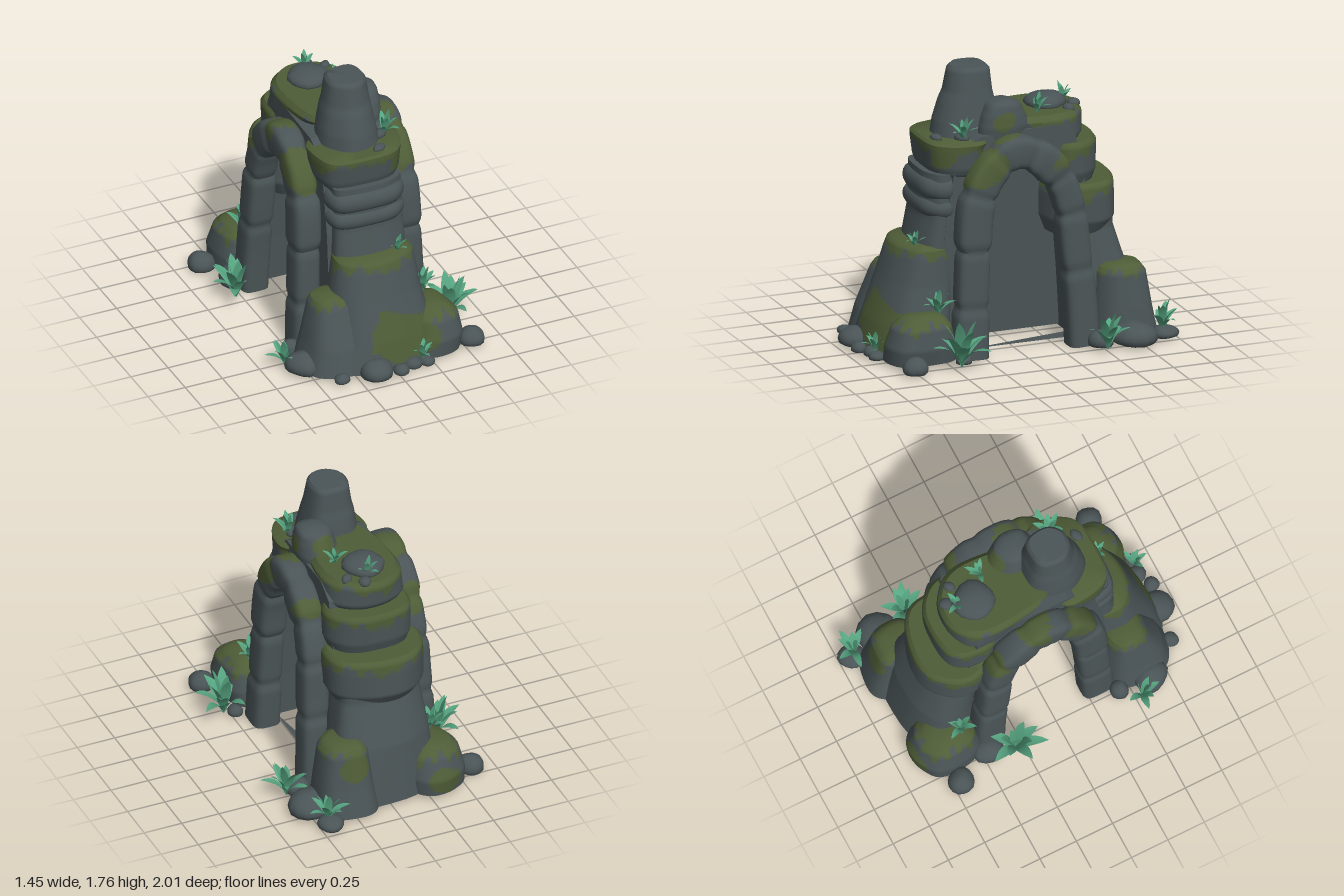
import * as THREE from 'three';
import { toCreasedNormals } from 'three/addons/utils/BufferGeometryUtils.js';

const mat = (name, color, side = THREE.FrontSide) =>
  Object.assign(new THREE.MeshStandardMaterial({ color, side }), { name });
const rockMat = mat('rock', 0x4a5456);
const innerMat = mat('innerRock', 0x4a5354, THREE.DoubleSide);
const mossMat = mat('moss', 0x4f5d37);
const leafMat = mat('leaf', 0x56a581, THREE.DoubleSide);

const SEG = 40;
const superPow = (v, p) => Math.sign(v) * Math.abs(v) ** (2 / p);

// Closed skin over rings of points, triangles sorted into rock and moss by a rule
function loft(rings, isMoss) {
  const pos = [], idx = [], n = rings[0].length, m = rings.length;
  rings.flat().forEach(p => pos.push(p.x, p.y, p.z));
  for (let i = 0; i < m - 1; i++) for (let j = 0; j < n; j++) {
    const a = i * n + j, b = i * n + (j + 1) % n;
    idx.push(a, a + n, b, b, a + n, b + n);
  }
  [0, m - 1].forEach(r => {
    const c = rings[r].reduce((s, p) => s.add(p), new THREE.Vector3()).divideScalar(n);
    const k = pos.length / 3;
    pos.push(c.x, c.y, c.z);
    for (let j = 0; j < n; j++) {
      const a = r * n + j, b = r * n + (j + 1) % n;
      idx.push(...(r ? [k, b, a] : [k, a, b]));
    }
  });
  let g = new THREE.BufferGeometry();
  g.setAttribute('position', new THREE.Float32BufferAttribute(pos, 3));
  g.setIndex(idx);
  g = toCreasedNormals(g, 0.75);
  const P = g.attributes.position, sorted = [[], []], c = new THREE.Vector3();
  for (let t = 0; t < P.count; t += 3) {
    c.set(0, 0, 0);
    for (let k = 0; k < 3; k++) c.add(new THREE.Vector3().fromBufferAttribute(P, t + k));
    sorted[isMoss(c.divideScalar(3)) ? 1 : 0].push(t, t + 1, t + 2);
  }
  g.setIndex([...sorted[0], ...sorted[1]]);
  g.addGroup(0, sorted[0].length, 0);
  g.addGroup(sorted[0].length, sorted[1].length, 1);
  return g;
}

// True inside any wobbly sphere [x, y, z, r]
const inPatch = (c, patches) => patches.some(([x, y, z, r]) =>
  Math.hypot(c.x - x, c.y - y, c.z - z) <
  r * (1 + 0.12 * Math.sin(c.x * 23 + c.y * 9) + 0.1 * Math.sin(c.y * 31 + c.z * 17)));

// Stone stacked from rows [y, x0, x1, z0, z1], mossy down to a dripping edge
function stone(parent, name, rows, { moss = 0, patches = [], p = 2.8, seed = rows[0][1] * 40 } = {}) {
  const fine = [rows[0]];
  for (let i = 1; i < rows.length; i++) {
    const a = rows[i - 1], b = rows[i];
    const k = Math.max(1, Math.ceil(Math.abs(b[0] - a[0]) / 0.016));
    for (let s = 1; s <= k; s++) fine.push(a.map((v, q) => v + (b[q] - v) * s / k));
  }
  const rings = fine.map(([y, x0, x1, z0, z1]) => Array.from({ length: SEG }, (_, j) => {
    const t = j / SEG * Math.PI * 2;
    const w = 1 + 0.025 * Math.sin(3 * t + seed) + 0.02 * Math.sin(5 * t + seed * 2 + y * 3);
    return new THREE.Vector3((x0 + x1) / 2 + (x1 - x0) / 2 * w * superPow(Math.cos(t), p), y,
      (z0 + z1) / 2 + (z1 - z0) / 2 * w * superPow(Math.sin(t), p));
  }));
  const top = rows.at(-1);
  const cx = (top[1] + top[2]) / 2, cz = (top[3] + top[4]) / 2;
  const geo = loft(rings, c => {
    const t = Math.atan2(c.z - cz, c.x - cx);
    const drip = moss * (1 + 0.35 * Math.sin(4 * t + seed) + 0.4 * Math.sin(13 * t));
    return (moss > 0 && c.y > top[0] - drip) || inPatch(c, patches);
  });
  const mesh = new THREE.Mesh(geo, [rockMat, mossMat]);
  mesh.name = name;
  parent.add(mesh);
}

// Arch centreline as [z, y]
const archLine = [[.325, 0], [.315, .3], [.3, .6], [.27, .95], [.18, 1.15], [.02, 1.265],
  [-.13, 1.22], [-.26, 1.09], [-.335, .9], [-.37, .6], [-.4, .3], [-.415, 0]];
const joints = [.11, .24, .36, .45, .53, .61, .7, .83];

// Arch of bulging blocks, pinched at each joint
function arch(parent, name, xTop, xBase, patches) {
  const curve = new THREE.CatmullRomCurve3(archLine.map(([z, y]) =>
    new THREE.Vector3(xBase + (xTop - xBase) * Math.min(1, y / 1.1), y, z)));
  const X = new THREE.Vector3(1, 0, 0), rings = [];
  for (let i = 0; i <= 130; i++) {
    const u = i / 130, c = curve.getPointAt(u), T = curve.getTangentAt(u);
    const side = new THREE.Vector3().crossVectors(X, T).normalize();
    const block = joints.filter(j => j < u).length;
    const pinch = joints.reduce((s, j) => s - 0.13 * Math.exp(-(((u - j) / 0.01) ** 2)), 1);
    const r = pinch * (1 + 0.04 * Math.sin(block * 2.3 + xTop * 9));
    const thick = u > 0.6 ? 0.096 : 0.106;
    rings.push(Array.from({ length: 24 }, (_, j) => {
      const t = j / 24 * Math.PI * 2;
      return c.clone().addScaledVector(X, 0.088 * r * superPow(Math.cos(t), 3.8))
        .addScaledVector(side, thick * r * superPow(Math.sin(t), 3.8));
    }));
  }
  const mesh = new THREE.Mesh(loft(rings, c => inPatch(c, patches)), [rockMat, mossMat]);
  mesh.name = name;
  parent.add(mesh);
}

// Rounded boulder with a flat underside resting at y
function boulder(parent, name, x, y, z, rx, h, rz = rx) {
  const geo = new THREE.SphereGeometry(1, 14, 10), P = geo.attributes.position;
  for (let i = 0; i < P.count; i++) {
    const a = P.getX(i), b = P.getY(i), c = P.getZ(i);
    const w = 1 + 0.07 * Math.sin(a * 3 + x * 20) * Math.cos(c * 3 + z * 20);
    P.setXYZ(i, a * w, Math.max(b, -0.45) * w, c * w);
  }
  geo.scale(rx, h / 1.45, rz);
  geo.computeVertexNormals();
  const mesh = new THREE.Mesh(geo, rockMat);
  mesh.name = name;
  mesh.position.set(x, y + h * 0.31, z);
  mesh.rotation.y = x * 5;
  parent.add(mesh);
}

// Tuft of broad leaves arching outwards
function plant(parent, x, y, z, h, n = 9) {
  const tuft = new THREE.Group();
  tuft.name = 'plant';
  tuft.position.set(x, y, z);
  for (let k = 0; k < n; k++) {
    const lean = 0.15 + 0.7 * ((k * 0.618) % 1), len = h * (0.85 + 0.25 * ((k * 0.38) % 1));
    const geo = new THREE.PlaneGeometry(1, 1, 2, 7), P = geo.attributes.position;
    for (let i = 0; i < P.count; i++) {
      const s = P.getX(i) * 2, t = P.getY(i) + 0.5;
      const w = 0.11 * h * Math.sin(Math.PI * (0.04 + 0.96 * t ** 1.1)) ** 0.8;
      P.setXYZ(i, s * w, len * (t - lean * 0.65 * t * t) + Math.abs(s) * w * 0.2,
        len * lean * (0.45 * t + 0.5 * t * t));
    }
    geo.computeVertexNormals();
    const leaf = new THREE.Mesh(geo, leafMat);
    leaf.name = 'leaf';
    leaf.rotation.y = Math.atan2(x, z * 0.5) + ((k + 0.5) / n - 0.5) * 5;
    tuft.add(leaf);
  }
  parent.add(tuft);
}

export function createModel() {
  const g = new THREE.Group();
  g.name = 'rockArch';

  // Core with a tunnel, closed halfway by a wall
  const V = ([z, y]) => new THREE.Vector2(z, y);
  const outline = [[-.58, .02], [-.52, .8], [-.42, 1.3], [-.3, 1.38], [.2, 1.36], [.36, 1.28], [.44, .8], [.5, .02]];
  const core = new THREE.ExtrudeGeometry(new THREE.Shape([...archLine, ...outline].map(V)),
    { depth: 0.5, bevelEnabled: false });
  core.rotateY(-Math.PI / 2).translate(0.23, 0, 0);
  const coreMesh = new THREE.Mesh(core, rockMat);
  coreMesh.name = 'tunnelCore';
  const wall = new THREE.Mesh(new THREE.ShapeGeometry(new THREE.Shape(archLine.map(V))), innerMat);
  wall.name = 'tunnelWall';
  wall.rotation.y = -Math.PI / 2;
  wall.position.y = 0.02;
  const sill = new THREE.Mesh(new THREE.ShapeGeometry(new THREE.Shape(
    [[.26, -.32], [.26, .4], [.15, .4]].map(V))), innerMat);
  sill.name = 'sill';
  sill.rotation.x = -Math.PI / 2;
  sill.position.y = 0.02;
  g.add(coreMesh, wall, sill);

  arch(g, 'leftArch', .3, .34, [[.28, 1.2, .24, .16], [.3, 1.16, -.27, .09], [.25, 1.34, .05, .1]]);
  arch(g, 'rightArch', -.35, -.385, [[-.33, 1.2, .25, .15], [-.3, 1.33, -.05, .13], [-.35, 1.1, -.33, .1]]);

  // Front pillar, from the ground up
  stone(g, 'frontBase', [[.02, -.42, .4, .36, .88], [.2, -.34, .32, .36, .84], [.45, -.3, .27, .34, .76],
    [.62, -.27, .25, .34, .71], [.67, -.26, .24, .34, .69], [.69, -.23, .21, .36, .66]],
    { moss: .06, p: 2.5, patches: [[.03, .2, .83, .19], [.2, .14, .8, .15]] });
  stone(g, 'frontLeftFoot', [[.02, .14, .48, .42, .87], [.12, .15, .5, .43, .87], [.24, .18, .48, .46, .83],
    [.29, .22, .43, .5, .77], [.31, .27, .38, .55, .72]], { moss: .065, p: 2.4, patches: [[.2, .15, .85, .1]] });
  stone(g, 'frontRightFoot', [[.02, -.53, -.12, .38, .84], [.18, -.49, -.14, .4, .8], [.42, -.44, -.17, .44, .7],
    [.46, -.42, -.19, .46, .67], [.475, -.38, -.22, .5, .63]], { moss: .05, p: 2.5 });
  stone(g, 'frontShaft', [[.5, -.26, .23, .34, .62], [.85, -.24, .22, .33, .55], [1.14, -.25, .21, .33, .53]]);
  [[.86, .975], [.975, 1.105]].forEach(([a, b]) => stone(g, 'frontBand', [0, .12, .3, .5, .7, .88, 1].map(t => {
    const e = .032 * Math.sin(Math.PI * t) ** .6;
    return [a + (b - a) * t, -.243 - e, .203 + e, .33, .532 + e];
  })));
  stone(g, 'frontLedge', [[1.1, -.25, .2, .2, .46], [1.125, -.28, .23, .18, .485], [1.17, -.3, .25, .14, .5],
    [1.29, -.31, .26, .12, .515], [1.32, -.31, .265, .1, .515], [1.335, -.29, .245, .1, .5]],
    { moss: .05, patches: [[.22, 1.28, .45, .1], [-.28, 1.3, .35, .1]] });
  stone(g, 'spire', [[1.3, -.22, .16, -.01, .42], [1.42, -.21, .14, .01, .4], [1.54, -.19, .12, .03, .365],
    [1.6, -.175, .11, .045, .34], [1.735, -.155, .09, .06, .315], [1.755, -.135, .075, .08, .295]], { p: 2.4 });
  stone(g, 'sideSpire', [[1.3, -.02, .24, -.15, .2], [1.4, -.01, .255, -.14, .19], [1.47, .01, .25, -.11, .17],
    [1.53, .03, .24, -.08, .14], [1.55, .05, .23, -.05, .12], [1.562, .08, .2, -.02, .08]],
    { p: 2.3, patches: [[.2, 1.43, .05, .08], [.12, 1.47, -.12, .08]] });

  // Back terraces, from the ground up
  stone(g, 'backBase', [[.02, -.36, .36, -.86, -.4], [.4, -.32, .3, -.8, -.38], [.68, -.29, .25, -.71, -.36], [.8, -.29, .25, -.7, -.36]]);
  stone(g, 'backLeftFoot', [[.02, .06, .46, -.93, -.5], [.2, .09, .44, -.89, -.52], [.42, .12, .41, -.85, -.54],
    [.46, .15, .38, -.82, -.56], [.475, .18, .35, -.78, -.6]], { moss: .05, p: 2.5, patches: [[.25, .35, -.87, .1]] });
  stone(g, 'backRightFoot', [[.02, -.52, -.14, -.9, -.46], [.12, -.52, -.14, -.91, -.46], [.25, -.49, -.17, -.86, -.5],
    [.3, -.44, -.22, -.8, -.55], [.315, -.38, -.28, -.74, -.61]], { moss: .07, p: 2.4, patches: [[-.35, .1, -.88, .1]] });
  stone(g, 'lowerTerrace', [[.64, -.29, .23, -.69, -.3], [.74, -.345, .285, -.75, -.26], [.9, -.35, .29, -.745, -.26],
    [.96, -.345, .285, -.74, -.27], [.985, -.32, .26, -.715, -.3]], { moss: .07, p: 2.25 });
  stone(g, 'middleTerrace', [[.96, -.27, .22, -.59, -.26], [1.05, -.3, .25, -.62, -.22], [1.22, -.3, .25, -.625, -.2],
    [1.25, -.28, .23, -.605, -.2]], { moss: .07, p: 2.25 });
  stone(g, 'upperTerrace', [[1.22, -.25, .19, -.5, -.06], [1.28, -.28, .22, -.54, 0], [1.4, -.28, .22, -.545, .15],
    [1.435, -.25, .19, -.52, .15]], { moss: .06, p: 2.5 });

  // Boulders [x, y, z, rx, height, rz]
  [[-.04, 1.42, -.33, .13, .09], [-.59, 0, -.7, .085, .11], [.55, .01, .77, .085, .1], [-.14, .01, .89, .1, .11],
    [.01, .01, .92, .05, .06], [.11, .01, .87, .06, .06], [.2, .01, .88, .05, .05], [.44, .01, -.92, .085, .07],
    [.47, .01, -.7, .14, .13, .16], [-.52, .01, .64, .1, .12, .12], [-.51, .01, .43, .06, .1], [-.48, .01, -.46, .1, .11],
    [.47, .01, -.49, .08, .1], [.48, .01, .42, .05, .06], [-.36, .01, .86, .05, .05], [.08, 1.33, .44, .045, .035, .03],
    [.15, 1.33, .3, .05, .045, .035], [.02, 1.42, -.49, .04, .045], [.11, 1.42, -.42, .04, .045, .03],
  ].forEach(b => boulder(g, 'boulder', ...b));

  // Plants [x, y, z, height, leaves]
  [[-.54, .01, -.3, .31, 11], [.55, .01, -.5, .26, 10], [.54, .01, .46, .33, 12], [-.6, .01, .54, .21, 9],
    [.45, .05, -.9, .22, 9], [.17, .05, .88, .15, 8], [.33, .29, .53, .19, 9], [.13, .67, .6, .13, 7],
    [.18, 1.33, .3, .18, 8], [.1, 1.42, -.22, .15, 7], [-.02, 1.43, -.43, .15, 6], [-.37, .29, -.59, .18, 8],
  ].forEach(p => plant(g, ...p));
  return g;
}
